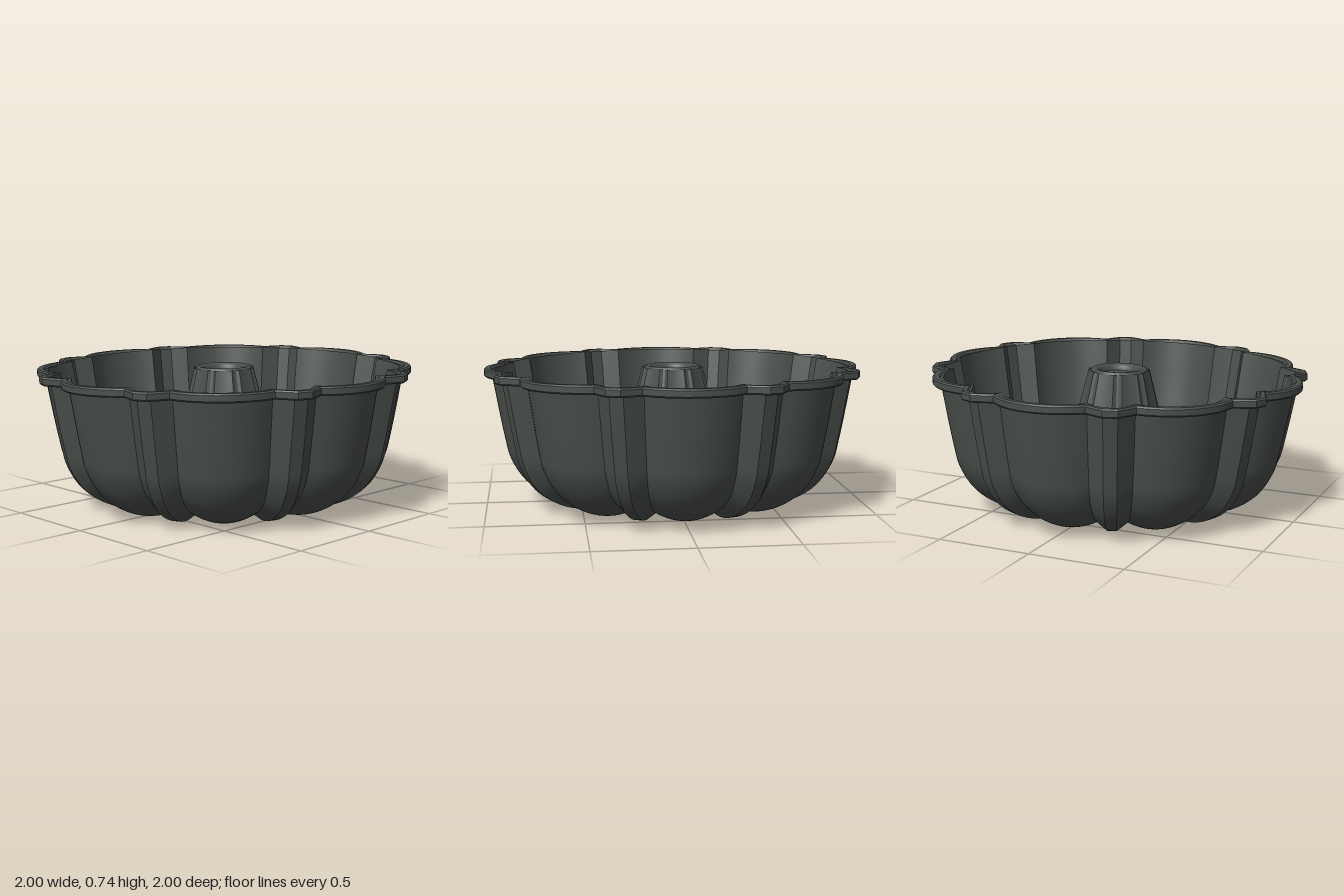
import * as THREE from 'three';
import { toCreasedNormals } from 'three/addons/utils/BufferGeometryUtils.js';

const REPEATS = 8;
const STEP = (Math.PI * 2) / REPEATS;
const DEG = Math.PI / 180;
const VALLEY = 15.2 * DEG; // angle from lobe centre to groove
const TIP = 20.4 * DEG; // where the narrow rib becomes flat
const FLUTE = 0.07; // groove depth per unit of radius

// Groove depth around the pan: 0 on lobes and rib tips, 1 in the grooves
function groove(angle) {
  const u = Math.abs(angle);
  if (u <= VALLEY) return (u / VALLEY) ** 2;
  return Math.max(0, 1 - (u - VALLEY) / (TIP - VALLEY));
}

// Angles of one repeat, with exact samples on every rib edge
function repeatAngles() {
  const half = [];
  for (let i = 1; i <= 8; i++) half.push((VALLEY * i) / 8);
  half.push((VALLEY + TIP) / 2, TIP);
  return [-STEP / 2, ...half.map((a) => -a).reverse(), 0, ...half];
}

// Sweep a closed section round the axis, pushing each point along its normal
function flutedRing(section, crease) {
  const local = repeatAngles();
  const columns = [];
  for (let k = 0; k < REPEATS; k++) {
    for (const a of local) columns.push({ angle: k * STEP + a, g: groove(a) });
  }
  const positions = [];
  const index = [];
  const n = columns.length;
  const m = section.length;
  section.forEach((p, i) => {
    columns.forEach(({ angle, g }, j) => {
      const d = -g * FLUTE * p.base;
      const r = p.r + p.nr * d;
      positions.push(r * Math.cos(angle), p.y + p.ny * d, r * Math.sin(angle));
      const a = i * n + j;
      const b = ((i + 1) % m) * n + j;
      const c = i * n + ((j + 1) % n);
      const e = ((i + 1) % m) * n + ((j + 1) % n);
      index.push(a, b, c, b, e, c);
    });
  });
  const geometry = new THREE.BufferGeometry();
  geometry.setAttribute('position', new THREE.Float32BufferAttribute(positions, 3));
  geometry.setIndex(index);
  return toCreasedNormals(geometry, crease);
}

// Pan wall section: down the tube, round the bottom, up the outside, and back
function shellSection(thickness) {
  const curve = new THREE.CatmullRomCurve3(
    [
      [0.135, 0.73], [0.185, 0.52], [0.24, 0.3], [0.285, 0.17], [0.37, 0.065],
      [0.52, 0.022], [0.66, 0.05], [0.79, 0.135], [0.87, 0.26], [0.9, 0.38], [0.963, 0.73],
    ].map(([r, y]) => new THREE.Vector3(r, y, 0)),
    false,
    'centripetal'
  );
  const outer = [];
  const inner = [];
  const steps = 44;
  for (let i = 0; i <= steps; i++) {
    const p = curve.getPoint(i / steps);
    const t = curve.getTangent(i / steps);
    const nr = t.y;
    const ny = -t.x;
    outer.push({ r: p.x, y: p.y, nr, ny, base: p.x });
    inner.unshift({ r: p.x - nr * thickness, y: p.y - ny * thickness, nr, ny, base: p.x });
  }
  return [...outer, ...inner];
}

export function createModel() {
  const metal = new THREE.MeshStandardMaterial({ color: 0x4a504c });
  metal.name = 'dark grey metal';

  const pan = new THREE.Group();
  pan.name = 'flutedCakePan';
  const add = (name, geometry) => {
    const mesh = new THREE.Mesh(geometry, metal);
    mesh.name = name;
    pan.add(mesh);
    return mesh;
  };

  add('flutedShell', flutedRing(shellSection(0.02), 0.45));

  // Thick rim following the fluted outline
  const rim = [
    [0.95, 0.7], [0.992, 0.7], [1.0, 0.708], [1.0, 0.737], [0.992, 0.745], [0.966, 0.745], [0.958, 0.737],
  ].map(([r, y]) => ({ r, y, nr: 1, ny: 0, base: 0.97 }));
  add('rim', flutedRing(rim, 0.45));

  // Rounded collar and recessed cap closing the centre tube
  const collar = [
    [0.14, 0.69], [0.155, 0.72], [0.15, 0.738], [0.138, 0.745], [0.118, 0.742], [0.106, 0.73], [0.106, 0.69], [0.14, 0.69],
  ].map(([r, y]) => new THREE.Vector2(r, y));
  add('tubeCollar', toCreasedNormals(new THREE.LatheGeometry(collar, 48), 0.8));
  add('tubeCap', new THREE.CylinderGeometry(0.11, 0.11, 0.01, 48)).position.y = 0.705;

  // The pan leans very slightly to one side
  pan.rotation.z = 0.014;
  const model = new THREE.Group();
  model.name = 'cakePan';
  model.add(pan);
  return model;
}
